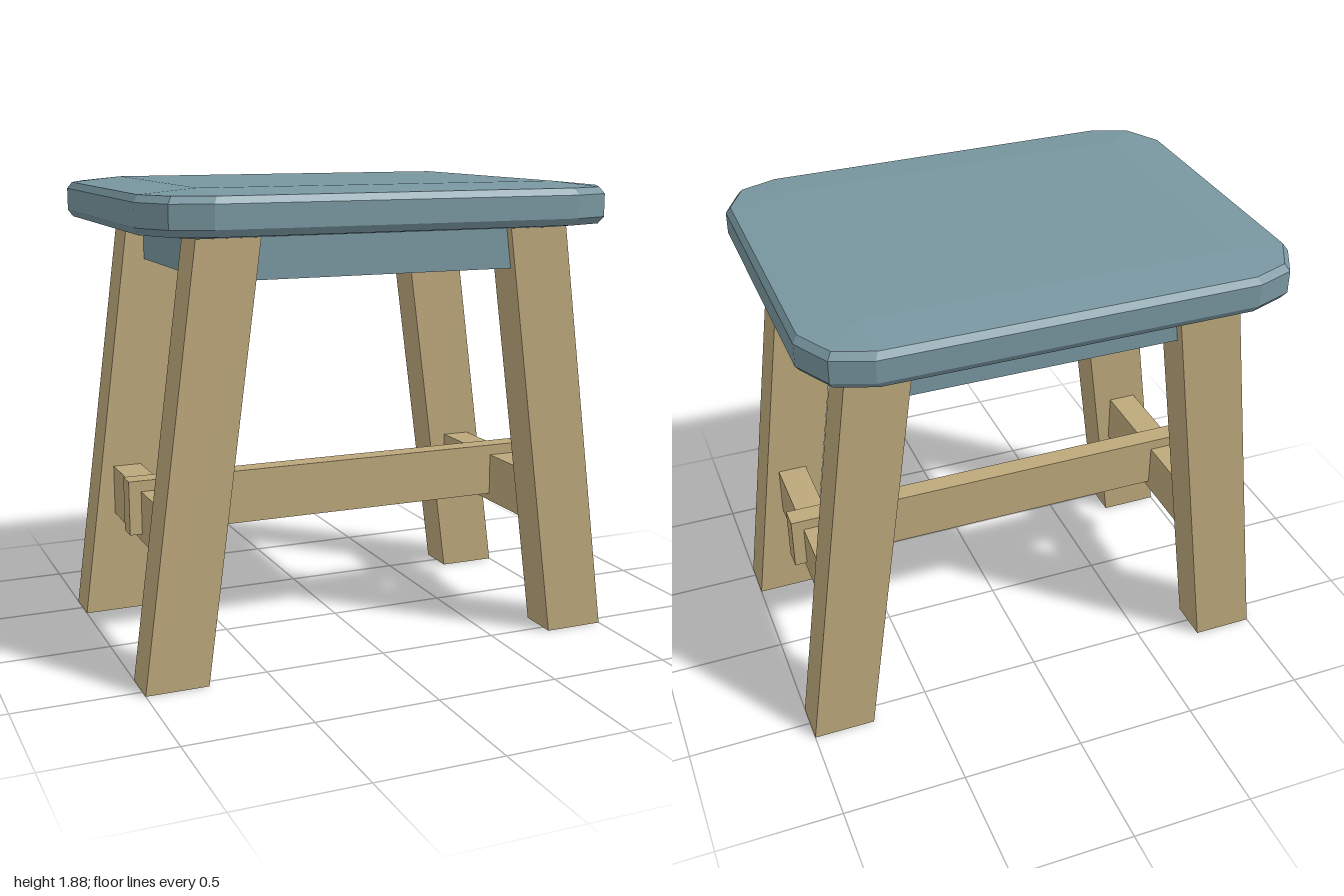
import * as THREE from 'three';

const wood = new THREE.MeshStandardMaterial({ color: 0xbda87b });
wood.name = 'wood';
const paint = new THREE.MeshStandardMaterial({ color: 0x7896a0 });
paint.name = 'blue grey paint';
wood.flatShading = paint.flatShading = true;

// Box given by its lower and upper limits on each axis
function block(name, material, [x0, x1], [y0, y1], [z0, z1]) {
  const geometry = new THREE.BoxGeometry(x1 - x0, y1 - y0, z1 - z0);
  geometry.translate((x0 + x1) / 2, (y0 + y1) / 2, (z0 + z1) / 2);
  const mesh = new THREE.Mesh(geometry, material);
  mesh.name = name;
  return mesh;
}

// Chamfered seat board lofted through horizontal rings, with slightly raised faces
function seatGeometry() {
  const corner = [[0.96, 0.54], [0.88, 0.69], [0.73, 0.745]];
  const mirrored = (sx, sz, pts) => pts.map(([x, z]) => [x * sx, z * sz]);
  const reversed = [...corner].reverse();
  const outline = [
    ...mirrored(1, 1, corner), ...mirrored(-1, 1, reversed),
    ...mirrored(-1, -1, corner), ...mirrored(1, -1, reversed),
  ];
  const rim = (y, inset) => outline.map(([x, z]) => [x * (1 - inset / 0.96), y, z * (1 - inset / 0.745)]);
  const plateau = (y) => outline.map(([x, z]) => [Math.sign(x) * 0.73, y, Math.sign(z) * 0.54]);
  const rings = [
    plateau(1.7), rim(1.72, 0.018), rim(1.747, 0),
    rim(1.836, 0), rim(1.862, 0.018), plateau(1.882),
  ];
  const n = outline.length;
  const points = [];
  for (let r = 0; r < rings.length - 1; r++) {
    for (let i = 0; i < n; i++) {
      const j = (i + 1) % n;
      const a = rings[r][i], b = rings[r][j], c = rings[r + 1][j], d = rings[r + 1][i];
      points.push(a, d, c, a, c, b);
    }
  }
  const bottom = rings[0], top = rings[rings.length - 1];
  for (let i = 0; i < n; i++) {
    const j = (i + 1) % n;
    points.push([0, 1.882, 0], top[j], top[i], [0, 1.7, 0], bottom[i], bottom[j]);
  }
  const geometry = new THREE.BufferGeometry();
  geometry.setAttribute('position', new THREE.Float32BufferAttribute(points.flat(), 3));
  geometry.computeVertexNormals();
  return geometry;
}

// Leg sheared inwards towards the top, with level ends
function leg(name, side, z) {
  const mesh = block(name, wood, [-0.125, 0.125], [0, 1.705], [z - 0.085, z + 0.085]);
  const p = mesh.geometry.attributes.position;
  for (let i = 0; i < p.count; i++) {
    p.setX(i, p.getX(i) + side * (0.875 - 0.135 * p.getY(i)));
  }
  mesh.geometry.computeVertexNormals();
  return mesh;
}

export function createModel() {
  const model = new THREE.Group();
  model.name = 'stool';

  const seat = new THREE.Mesh(seatGeometry(), paint);
  seat.name = 'seat';
  seat.position.x = -0.03;
  model.add(seat);

  // Solid apron under the seat, let into the legs
  model.add(block('apron', paint, [-0.7, 0.7], [1.54, 1.705], [-0.55, 0.51]));

  // Legs and side rails
  for (const side of [-1, 1]) {
    const label = side > 0 ? 'left' : 'right';
    model.add(leg(label + 'FrontLeg', side, 0.461));
    model.add(leg(label + 'BackLeg', side, side > 0 ? -0.499 : -0.507));
    const xs = side > 0 ? [0.74, 0.86] : [-0.86, -0.74];
    model.add(block(label + 'SideRail', wood, xs, [0.44, 0.65], [-0.45, 0.42]));
  }

  // Centre stretcher passing through the side rails
  model.add(block('centreStretcher', wood, [-0.91, 0.91], [0.472, 0.695], [-0.055, 0.03]));
  return model;
}
